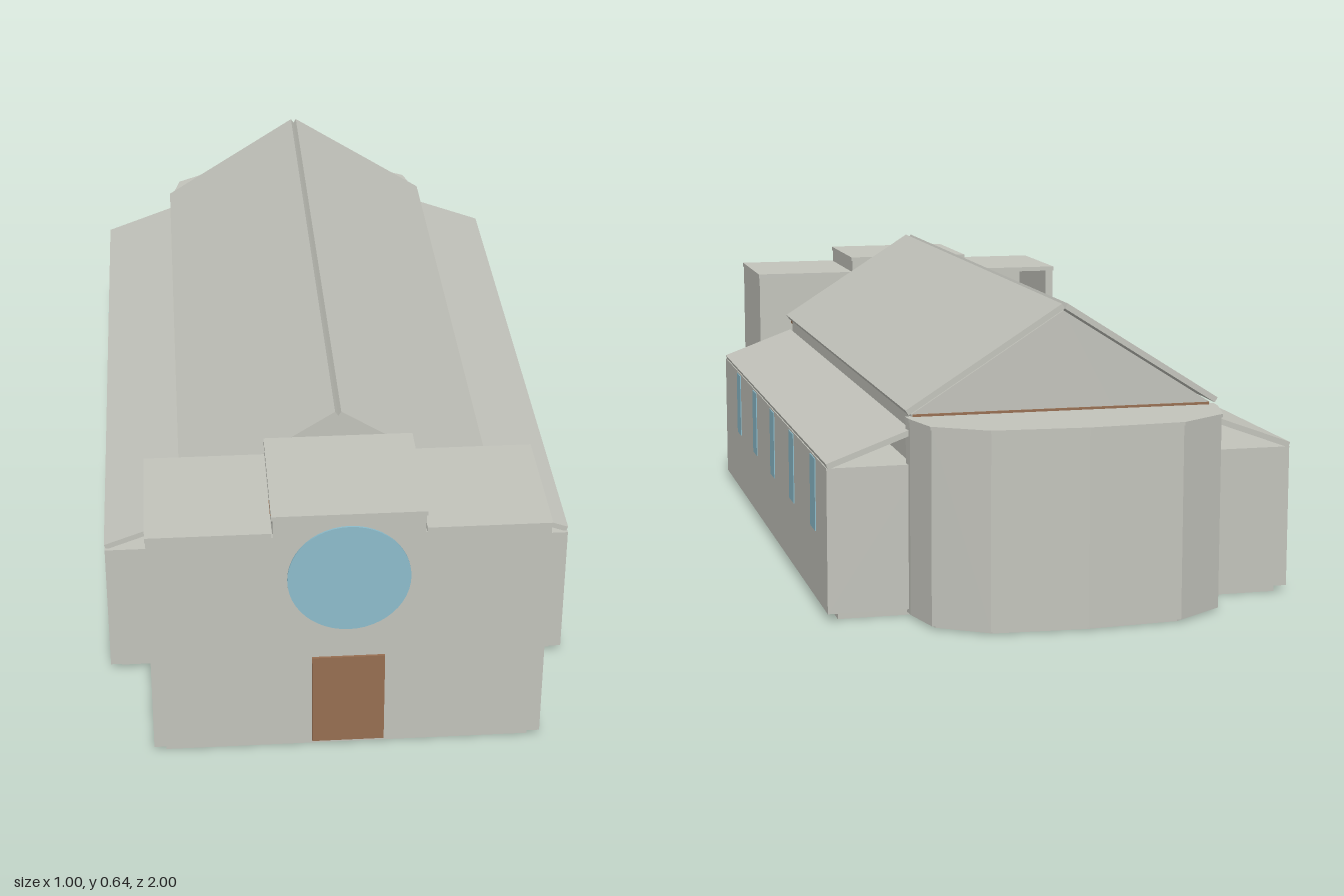
import * as THREE from 'three';

export function createModel() {
  const group = new THREE.Group();
  const material = (name, color) => {
    const m = new THREE.MeshStandardMaterial({ color });
    m.name = name;
    return m;
  };
  const stone = material('stone', 0xc2c3bb);
  const glass = material('blue glass', 0x8dbccb);
  const wood = material('brown wood', 0x966e51);

  const add = (name, geometry, mat) => {
    const mesh = new THREE.Mesh(geometry, mat);
    mesh.name = name;
    group.add(mesh);
    return mesh;
  };
  // Box given by its limits on each axis
  const box = (name, mat, x0, x1, y0, y1, z0, z1) => {
    const mesh = add(name, new THREE.BoxGeometry(x1 - x0, y1 - y0, z1 - z0), mat);
    mesh.position.set((x0 + x1) / 2, (y0 + y1) / 2, (z0 + z1) / 2);
    return mesh;
  };
  // Front outline pushed along z
  const prism = (name, mat, points, z0, z1) => {
    const shape = new THREE.Shape(points.map(([x, y]) => new THREE.Vector2(x, y)));
    const g = new THREE.ExtrudeGeometry(shape, { depth: z1 - z0, bevelEnabled: false });
    return add(name, g.translate(0, 0, z0), mat);
  };
  // Plan outline (x, z) raised from y0 to y1
  const raised = (name, mat, points, y0, y1) => {
    const shape = new THREE.Shape(points.map(([x, z]) => new THREE.Vector2(x, -z)));
    const g = new THREE.ExtrudeGeometry(shape, { depth: y1 - y0, bevelEnabled: false });
    return add(name, g.rotateX(-Math.PI / 2).translate(0, y0, 0), mat);
  };
  // Sloping roof slab lying on a line from its upper to its lower end
  const slab = (name, side, x0, y0, x1, y1, t, z0, z1) => {
    const len = Math.hypot(x1 - x0, y1 - y0);
    const nx = (y0 - y1) / len * t, ny = (x1 - x0) / len * t;
    const pts = [[x0, y0], [x1, y1], [x1 + nx, y1 + ny], [x0 + nx, y0 + ny]];
    prism(name, stone, pts.map(([x, y]) => [x * side, y]), z0, z1);
  };

  // Base plinths
  box('naveBase', stone, -0.475, 0.475, 0, 0.017, -0.795, 0.69);
  box('frontBase', stone, -0.38, 0.38, 0, 0.017, 0.68, 0.985);

  // Nave with gables, and the edge of its timber ceiling
  prism('nave', stone,
    [[-0.32, 0.017], [0.32, 0.017], [0.32, 0.42], [0, 0.623], [-0.32, 0.42]], -0.8, 0.69);
  box('ceiling', wood, -0.318, 0.318, 0.405, 0.42, -0.803, 0.73);

  for (const side of [-1, 1]) {
    slab('naveRoof', side, 0, 0.628, 0.328, 0.42, 0.012, -0.81, 0.7);
    slab('aisleRoof', side, 0.32, 0.38, 0.495, 0.316, 0.012, -0.81, 0.7);
    const [a, b] = side < 0 ? [-0.498, -0.3] : [0.3, 0.498];
    box('aisle', stone, a, b, 0.015, 0.318, -0.808, 0.707);

    // Aisle windows
    for (let i = 0; i < 5; i++) {
      const z = 0.453 - i * 0.2755;
      const x = side * 0.498;
      box('aisleWindow', glass, x - 0.002, x + 0.002, 0.16, 0.314, z - 0.03, z + 0.03);
    }
    // Side walls of the entrance block
    const [c, d] = side < 0 ? [-0.405, -0.385] : [0.385, 0.405];
    box('frontSideWall', stone, c, d, 0.015, 0.53, 0.7, 0.975);
    // Low roof of the entrance block
    const [e, f] = side < 0 ? [-0.407, -0.155] : [0.155, 0.407];
    box('frontRoof', stone, e, f, 0.53, 0.541, 0.7, 0.996);
    // Sides of the raised middle
    const [g, h] = side < 0 ? [-0.153, -0.138] : [0.138, 0.153];
    box('raisedSide', stone, g, h, 0.53, 0.57, 0.7, 0.975);
  }

  // Entrance front with raised middle
  prism('facade', stone, [
    [-0.405, 0.015], [0.405, 0.015], [0.405, 0.53], [0.153, 0.53],
    [0.153, 0.57], [-0.153, 0.57], [-0.153, 0.53], [-0.405, 0.53],
  ], 0.975, 0.995);
  box('raisedRoof', stone, -0.156, 0.156, 0.57, 0.58, 0.7, 0.996);

  // Door and round window, shown on both faces of the wall
  for (const z of [0.974, 0.996]) {
    box('door', wood, -0.075, 0.075, 0.016, 0.232, z - 0.004, z + 0.004);
    const disc = new THREE.CylinderGeometry(0.125, 0.125, 0.006, 48).rotateX(Math.PI / 2);
    add('roundWindow', disc, glass).position.set(0, 0.427, z);
  }

  // Faceted apse with a thin flat roof
  const half = [[0.33, -0.79], [0.328, -0.82], [0.305, -0.915], [0.2, -0.985]];
  const plan = [...half, [0, -0.998], ...half.map(([x, z]) => [-x, z]).reverse()];
  raised('apse', stone, plan, 0.006, 0.408);
  raised('apseRoof', stone, plan.map(([x, z]) => [x * 1.008, z * 1.002]), 0.408, 0.415);
  raised('apseBase', stone, plan.map(([x, z]) => [x * 0.97, z * 0.99]), 0, 0.006);

  return group;
}
